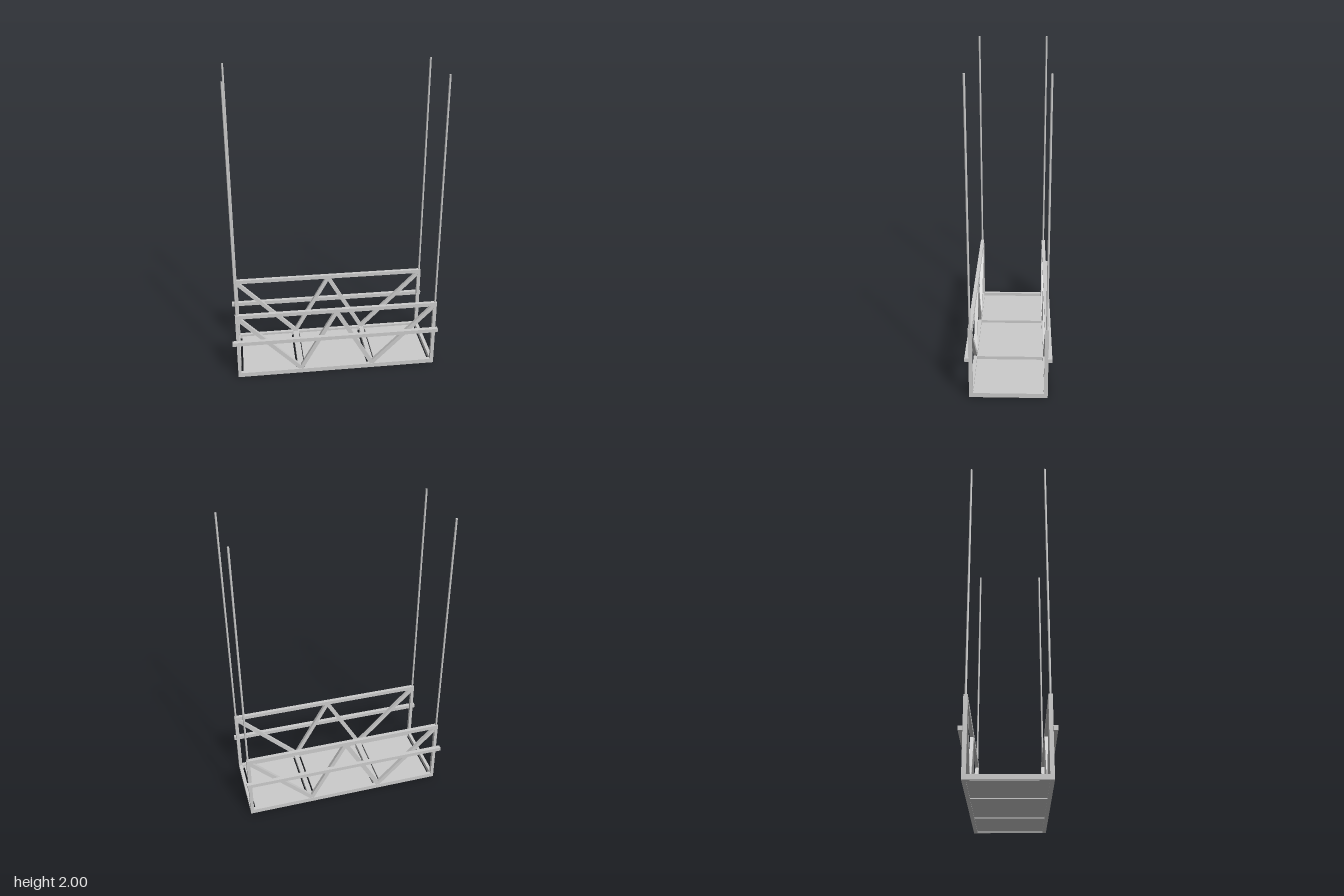
import * as THREE from 'three';

export function createModel() {
  const model = new THREE.Group();
  const material = new THREE.MeshStandardMaterial({ color: 0xcccccc });

  // Box given by its limits on each axis
  function block(name, [x0, x1], [y0, y1], [z0, z1], parent = model) {
    const mesh = new THREE.Mesh(new THREE.BoxGeometry(x1 - x0, y1 - y0, z1 - z0), material);
    mesh.position.set((x0 + x1) / 2, (y0 + y1) / 2, (z0 + z1) / 2);
    mesh.name = name;
    parent.add(mesh);
  }

  const left = 0.67, right = -0.66, height = 0.476, bar = 0.026;
  const inner = 0.218, outer = 0.242;
  const postSpans = [[right, right + 0.021], [left - 0.023, left]];

  // Zigzag of the truss, from corner to corner
  const zigzag = [[-0.648, 0.455], [-0.238, 0.035], [0, 0.455], [0.24, 0.035], [0.657, 0.455]];

  for (const side of [1, -1]) {
    const truss = new THREE.Group();
    truss.name = side > 0 ? 'frontTruss' : 'backTruss';
    model.add(truss);
    const depth = side > 0 ? [inner, outer] : [-outer, -inner];
    const railDepth = side > 0 ? [0.239, 0.265] : [-0.265, -0.239];

    block('bottomChord', [right, left], [0, 0.03], depth, truss);
    block('topChord', [right, left], [height - bar, height], depth, truss);
    block('bumperRail', [-0.685, 0.682], [0.26, 0.286], railDepth, truss);
    for (const span of postSpans) block('cornerPost', span, [0.03, height - bar], depth, truss);

    // Diagonal braces
    for (let i = 0; i < zigzag.length - 1; i++) {
      const [x0, y0] = zigzag[i], [x1, y1] = zigzag[i + 1];
      const brace = new THREE.Mesh(
        new THREE.BoxGeometry(Math.hypot(x1 - x0, y1 - y0), bar, 0.022), material);
      brace.position.set((x0 + x1) / 2, (y0 + y1) / 2, side * 0.23);
      brace.rotation.z = Math.atan2(y1 - y0, x1 - x0);
      brace.name = 'diagonalBrace';
      truss.add(brace);
    }

    // Suspension rods above the corner posts
    for (const x of [-0.65, 0.66]) {
      const rod = new THREE.Mesh(new THREE.CylinderGeometry(0.0065, 0.0065, 2 - 0.45, 16), material);
      rod.position.set(x, (2 + 0.45) / 2, side * 0.23);
      rod.name = 'suspensionRod';
      truss.add(rod);
    }
  }

  // Cross beams under and between the floor panels
  const beams = [postSpans[0], [-0.256, -0.217], [0.227, 0.258], postSpans[1]];
  for (const span of beams) block('crossBeam', span, [0, 0.03], [-inner, inner]);

  // Floor panels, with narrow gaps beside the beams
  for (const span of [[-0.625, -0.269], [-0.21, 0.212], [0.269, 0.633]]) {
    block('floorPanel', span, [0.003, 0.015], [-inner, inner]);
  }

  return model;
}
